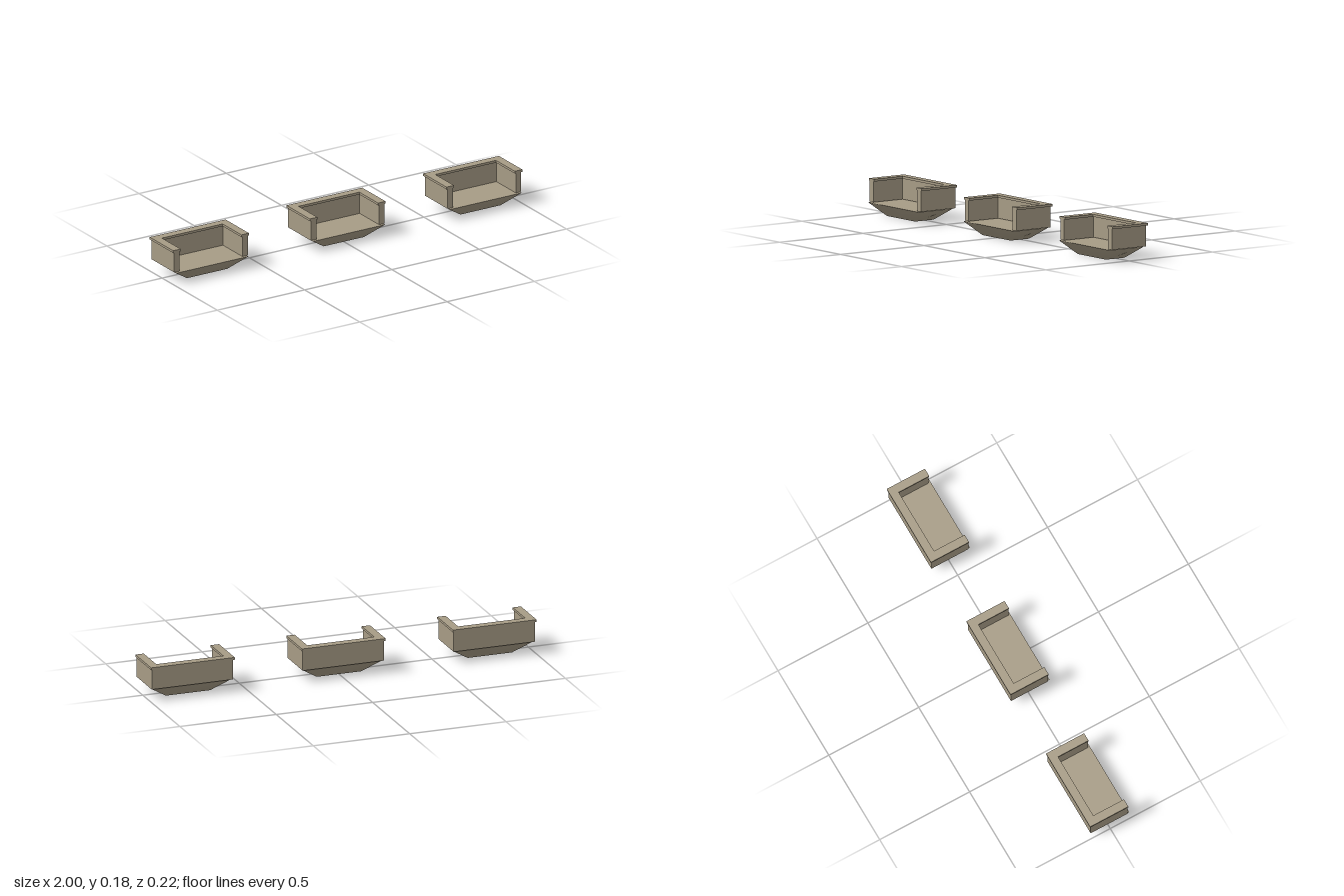
import * as THREE from 'three';
import { mergeVertices } from 'three/addons/utils/BufferGeometryUtils.js';

// U-shaped band, open at the front, extruded upward from y0 to y1
function uBand(outer, inner, back, innerBack, front, y0, y1) {
  const shape = new THREE.Shape([
    [-outer, front], [-inner, front], [-inner, innerBack], [inner, innerBack],
    [inner, front], [outer, front], [outer, back], [-outer, back],
  ].map(([x, z]) => new THREE.Vector2(x, -z)));
  const geo = new THREE.ExtrudeGeometry(shape, { depth: y1 - y0, bevelEnabled: false });
  return geo.rotateX(-Math.PI / 2).translate(0, y0, 0);
}

// Tapered underside: a box narrowed at the bottom, smooth, without its top face
function taperedBase(height, top, bottom) {
  const box = new THREE.BoxGeometry(1, 1, 1);
  const index = Array.from(box.index.array);
  index.splice(12, 6);
  box.setIndex(index);
  box.deleteAttribute('uv');
  box.deleteAttribute('normal');
  const geo = mergeVertices(box);
  const p = geo.attributes.position;
  for (let i = 0; i < p.count; i++) {
    const up = p.getY(i) > 0;
    const r = up ? top : bottom;
    p.setXYZ(i, Math.sign(p.getX(i)) * r.half, up ? height : 0, p.getZ(i) > 0 ? r.front : r.back);
  }
  geo.computeVertexNormals();
  return geo;
}

export function createModel() {
  const model = new THREE.Group();
  model.name = 'balconies';
  const stone = new THREE.MeshStandardMaterial({ color: 0xa69b85 });
  stone.name = 'stone';

  const baseTop = { half: 0.207, front: 0.111, back: -0.093 };
  const baseBottom = { half: 0.115, front: 0.065, back: -0.046 };
  const floorGeo = new THREE.PlaneGeometry(baseTop.half * 2, baseTop.front - baseTop.back)
    .rotateX(-Math.PI / 2)
    .translate(0, 0.06, (baseTop.front + baseTop.back) / 2);

  const parts = {
    parapet: uBand(0.211, 0.18, -0.106, -0.076, 0.1, 0.062, 0.164),
    coping: uBand(0.217, 0.174, -0.112, -0.07, 0.1, 0.164, 0.176),
    floor: floorGeo,
    taperedBase: taperedBase(0.06, baseTop, baseBottom),
  };

  // Three identical balconies in a row
  ['rightBalcony', 'middleBalcony', 'leftBalcony'].forEach((name, i) => {
    const balcony = new THREE.Group();
    balcony.name = name;
    balcony.position.x = (i - 1) * 0.783;
    for (const [part, geo] of Object.entries(parts)) {
      const mesh = new THREE.Mesh(geo, stone);
      mesh.name = part;
      balcony.add(mesh);
    }
    model.add(balcony);
  });
  return model;
}
